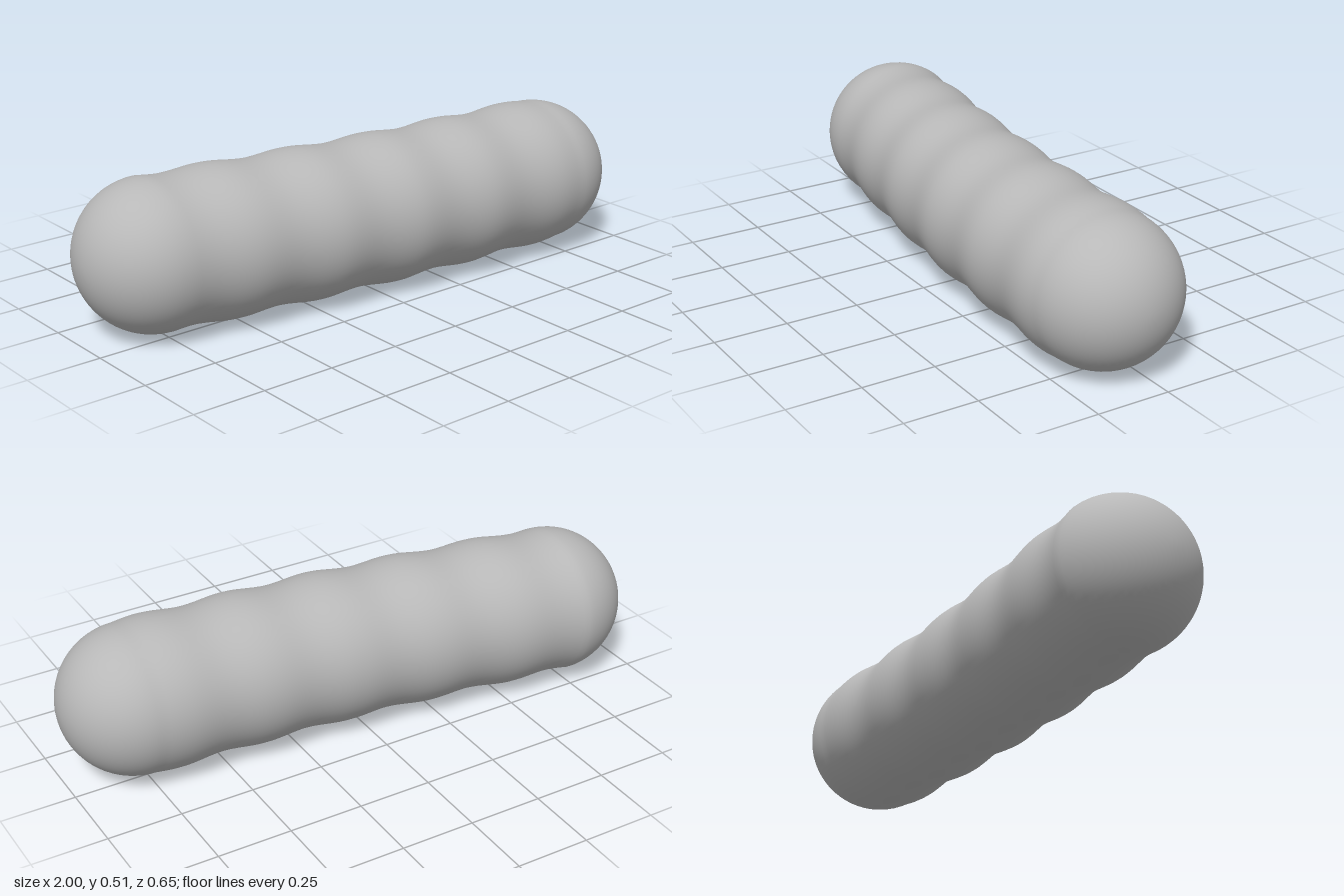
import * as THREE from 'three';
import { mergeVertices } from 'three/addons/utils/BufferGeometryUtils.js';

const CAP = 0.753;      // x where the rounded ends begin
const CAP_LENGTH = 0.247;
const CENTRE_Y = 0.257;

// Gently rippled body radius, six swellings along the length
const bodyRadius = (x) => 0.2495 + 0.0058 * Math.cos((2 * Math.PI * (x - 0.07)) / 0.298);

// Sideways drift of the centre line: [x, z]
const spine = [[-0.76, -0.08], [-0.52, -0.046], [-0.22, -0.004], [0.07, 0.029], [0.37, 0.051], [0.68, 0.066], [0.76, 0.068]];
function spineZ(x) {
  if (x <= spine[0][0]) return spine[0][1];
  for (let i = 1; i < spine.length; i++) {
    const [x0, z0] = spine[i - 1], [x1, z1] = spine[i];
    if (x <= x1) return THREE.MathUtils.mapLinear(x, x0, x1, z0, z1);
  }
  return spine[spine.length - 1][1];
}

export function createModel() {
  const group = new THREE.Group();
  group.name = 'segmentedCapsule';
  const grey = new THREE.MeshStandardMaterial({ color: 0xb8b8b8 });
  grey.name = 'grey';

  // Profile: left cap, rippled body, right cap
  const profile = [];
  const capSteps = 20, bodySteps = 80;
  const addCap = (side, i) => {
    const a = (i / capSteps) * Math.PI / 2;
    const r = i === 0 ? 0 : bodyRadius(side * CAP) * Math.sin(a);
    profile.push(new THREE.Vector2(r, side * (CAP + CAP_LENGTH * Math.cos(a))));
  };
  for (let i = 0; i <= capSteps; i++) addCap(-1, i);
  for (let i = 1; i < bodySteps; i++) {
    const x = -CAP + (2 * CAP * i) / bodySteps;
    profile.push(new THREE.Vector2(bodyRadius(x), x));
  }
  for (let i = capSteps; i >= 0; i--) addCap(1, i);

  // Lay the lathe along x, then slide each ring onto the spine
  let geometry = new THREE.LatheGeometry(profile, 64);
  geometry.rotateZ(-Math.PI / 2);
  const p = geometry.attributes.position;
  for (let i = 0; i < p.count; i++) {
    p.setY(i, p.getY(i) + CENTRE_Y);
    p.setZ(i, p.getZ(i) + spineZ(p.getX(i)));
  }
  geometry.deleteAttribute('uv');
  geometry.deleteAttribute('normal');
  geometry = mergeVertices(geometry, 1e-5);
  geometry.computeVertexNormals();

  const body = new THREE.Mesh(geometry, grey);
  body.name = 'body';
  group.add(body);
  return group;
}
